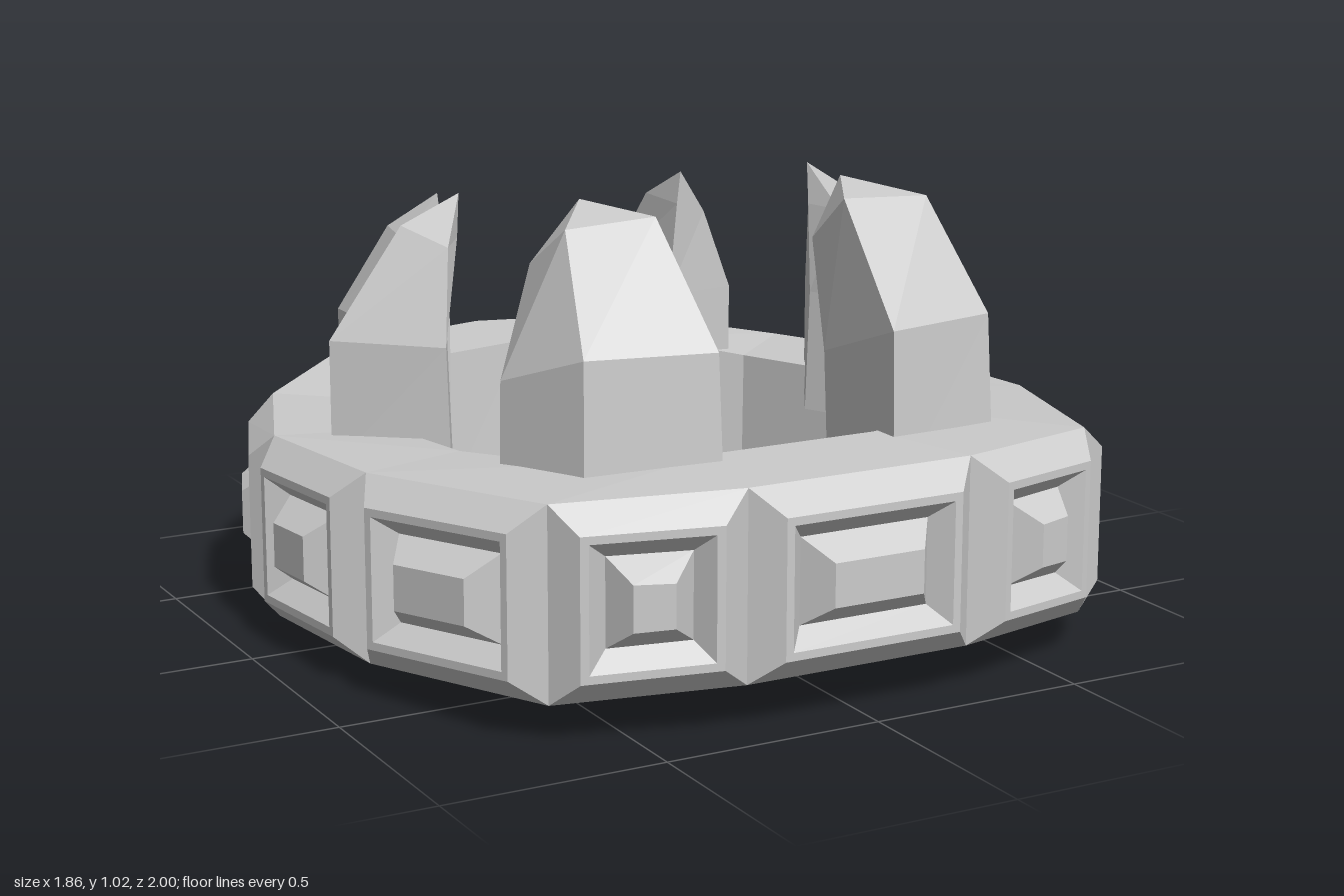
import * as THREE from 'three';

const material = new THREE.MeshStandardMaterial({ color: 0xcccccc, flatShading: true });
const V = (x, y, z) => new THREE.Vector3(x, y, z);

// Faceted mesh from polygons whose corners run counter-clockwise seen from outside
function facetMesh(name, polygons) {
  const points = [];
  for (const p of polygons) {
    for (let i = 1; i < p.length - 1; i++) points.push(p[0], p[i], p[i + 1]);
  }
  const geometry = new THREE.BufferGeometry().setFromPoints(points);
  geometry.computeVertexNormals();
  const mesh = new THREE.Mesh(geometry, material);
  mesh.name = name;
  return mesh;
}

// Quads joining two closed loops of equal length
const bridge = (a, b) => a.map((p, i) => {
  const j = (i + 1) % a.length;
  return [p, a[j], b[j], b[i]];
});

// Half outline, front to back: outer x, z, bottom y, top y, inner x, z
const half = [
  [0.27, 0.92, 0.10, 0.52, 0.20, 0.65],
  [0.66, 0.79, 0.08, 0.505, 0.47, 0.54],
  [0.84, 0.29, 0.05, 0.475, 0.59, 0.22],
  [0.86, -0.19, 0.025, 0.45, 0.60, -0.12],
  [0.70, -0.61, 0.0, 0.44, 0.50, -0.43],
  [0.39, -0.88, 0.035, 0.475, 0.28, -0.645],
  [0, -0.955, 0.055, 0.48, 0, -0.69],
];
const outline = [
  ...half,
  ...half.slice(0, -1).reverse().map(([x, z, b, t, ix, iz]) => [-x, z, b, t, -ix, iz]),
];

// Raised rectangular frame, recess and faceted stud between two outline corners
function buildPanel(c0, c1) {
  const bl = V(c0[0], c0[2], c0[1]), br = V(c1[0], c1[2], c1[1]);
  const tr = V(c1[0], c1[3], c1[1]), tl = V(c0[0], c0[3], c0[1]);
  const along = br.clone().sub(bl).normalize();
  const up = V(0, 1, 0);
  const out = along.clone().cross(up).normalize();
  const level = (inset, depth) =>
    [[bl, 1, 1], [br, -1, 1], [tr, -1, -1], [tl, 1, -1]].map(([p, u, v]) =>
      p.clone().addScaledVector(along, u * inset).addScaledVector(up, v * inset).addScaledVector(out, depth));

  const frame = [level(0, 0), level(0.057, 0.06), level(0.075, 0.06), level(0.115, 0.015)];
  const studTop = level(0.162, 0.078);
  const panel = new THREE.Group();
  panel.name = 'bandPanel';
  panel.add(
    facetMesh('panelFrame', frame.slice(0, -1).flatMap((l, i) => bridge(l, frame[i + 1]))),
    facetMesh('panelStud', [...bridge(frame[3], studTop), studTop]),
  );
  return panel;
}

function buildBand() {
  const band = new THREE.Group();
  band.name = 'band';
  const outerTop = outline.map(c => V(c[0], c[3], c[1]));
  const outerBottom = outline.map(c => V(c[0], c[2], c[1]));
  const innerTop = outline.map(c => V(c[4], c[3], c[5]));
  const innerBottom = outline.map(c => V(c[4] * 0.97, c[2] + 0.01, c[5] * 0.96));
  band.add(
    facetMesh('bandTop', bridge(outerTop, innerTop)),
    facetMesh('bandInnerWall', bridge(innerTop, innerBottom)),
    facetMesh('bandUnderside', bridge(innerBottom, outerBottom)),
  );
  outline.forEach((c, i) => band.add(buildPanel(c, outline[(i + 1) % outline.length])));
  return band;
}

// Fangs: loops of four [x, y, z] corners from base to crown, then a tip
const fangs = {
  frontFang: {
    loops: [
      [[0.21, 0.38, 0.72], [0.51, 0.38, 0.66], [0.59, 0.38, 0.42], [0.22, 0.38, 0.43]],
      [[0.215, 0.75, 0.70], [0.50, 0.75, 0.64], [0.58, 0.67, 0.41], [0.22, 0.65, 0.41]],
      [[0.235, 1.0, 0.46], [0.45, 0.99, 0.46], [0.45, 0.89, 0.29], [0.24, 0.89, 0.32]],
    ],
    tip: [0.33, 1.02, 0.29],
  },
  sideFang: {
    loops: [
      [[0.75, 0.38, -0.12], [0.60, 0.38, -0.30], [0.47, 0.38, -0.08], [0.55, 0.38, 0.09]],
      [[0.75, 0.67, -0.12], [0.60, 0.65, -0.30], [0.48, 0.67, -0.08], [0.55, 0.67, 0.07]],
      [[0.58, 0.92, -0.10], [0.54, 0.91, -0.16], [0.46, 0.89, -0.06], [0.51, 0.88, 0.0]],
    ],
    tip: [0.455, 0.99, -0.06],
  },
  backFang: {
    loops: [
      [[0.27, 0.36, -0.76], [0.30, 0.36, -0.46], [0.49, 0.36, -0.49], [0.49, 0.36, -0.70]],
      [[0.27, 0.61, -0.76], [0.30, 0.61, -0.46], [0.49, 0.61, -0.49], [0.49, 0.61, -0.70]],
      [[0.30, 0.85, -0.58], [0.32, 0.84, -0.455], [0.41, 0.81, -0.48], [0.41, 0.83, -0.57]],
    ],
    tip: [0.33, 0.92, -0.455],
  },
};

function buildFang(name, { loops, tip }, side) {
  const place = loop => {
    const pts = loop.map(([x, y, z]) => V(x * side, y, z));
    return side < 0 ? pts.reverse() : pts;
  };
  const rings = loops.map(place);
  const apex = V(tip[0] * side, tip[1], tip[2]);
  const crown = rings[rings.length - 1];
  return facetMesh(name, [
    [...rings[0]].reverse(),
    ...rings.slice(0, -1).flatMap((r, i) => bridge(r, rings[i + 1])),
    ...crown.map((p, i) => [p, crown[(i + 1) % crown.length], apex]),
  ]);
}

export function createModel() {
  const model = new THREE.Group();
  model.name = 'fangedCrown';
  model.add(buildBand());
  for (const [name, fang] of Object.entries(fangs)) {
    model.add(buildFang(name + 'Left', fang, 1), buildFang(name + 'Right', fang, -1));
  }
  return model;
}
